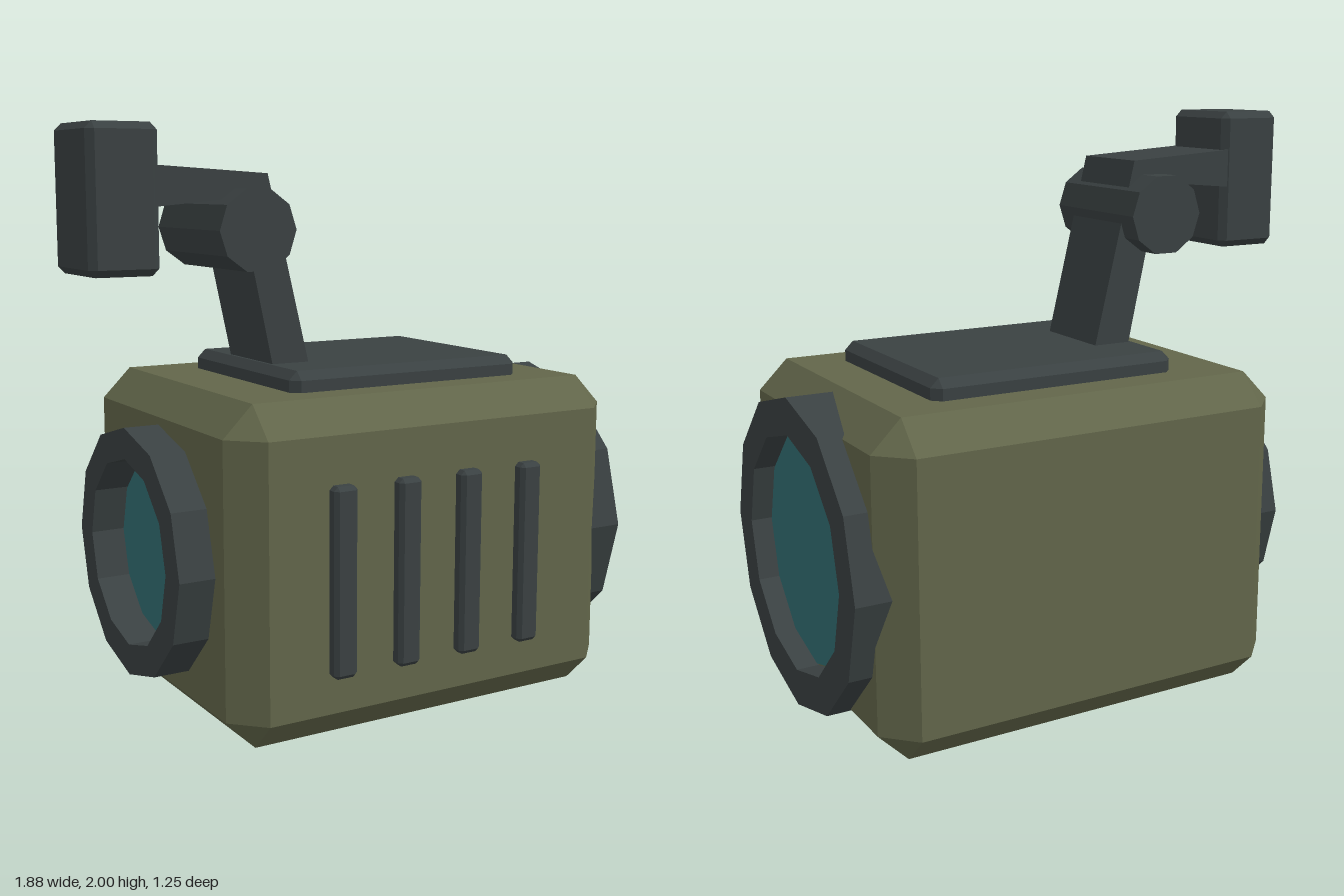
import * as THREE from 'three';
import { ConvexGeometry } from 'three/addons/geometries/ConvexGeometry.js';

const mat = (name, color) => {
  const m = new THREE.MeshStandardMaterial({ color, flatShading: true });
  m.name = name;
  return m;
};

// Box between two corners with every edge cut at 45 degrees
function chamferBox(min, max, c) {
  const pts = [];
  for (let i = 0; i < 8; i++) {
    const bits = [i & 1, (i >> 1) & 1, (i >> 2) & 1];
    for (let face = 0; face < 3; face++) {
      const p = bits.map((b, k) => {
        const inset = k === face ? 0 : c;
        return b ? max[k] - inset : min[k] + inset;
      });
      pts.push(new THREE.Vector3(...p));
    }
  }
  return new ConvexGeometry(pts);
}

export function createModel() {
  const olive = mat('olive', 0x62664a);
  const dark = mat('dark grey', 0x3a4142);
  const teal = mat('teal glass', 0x326e72);
  const model = new THREE.Group();
  const midZ = -0.02;

  const add = (name, geometry, material, parent = model) => {
    const mesh = new THREE.Mesh(geometry, material);
    mesh.name = name;
    parent.add(mesh);
    return mesh;
  };

  // Housing and the plate on top
  add('housing', chamferBox([-0.655, 0, -0.625], [0.855, 1.13, 0.58], 0.105), olive);
  add('topPlate', chamferBox([-0.34, 1.1, -0.4], [0.58, 1.2, 0.36], 0.03), dark);

  // Twelve-sided lens: a square-section ring with a recessed glass disc
  function lens(name, side, wallX, tipX, outer, inner, glassR) {
    const group = new THREE.Group();
    group.name = name;
    const depth = tipX - wallX;
    const profile = [
      [inner, -0.15], [outer, -0.15], [outer, depth], [inner, depth], [inner, -0.15],
    ].map(([r, y]) => new THREE.Vector2(r, y));
    add('lensRing', new THREE.LatheGeometry(profile, 12), dark, group);
    add('lensGlass', new THREE.CylinderGeometry(glassR, glassR, 0.009, 12), teal, group).position.y = 0.003;
    group.rotation.z = -side * Math.PI / 2;
    group.position.set(side * wallX, 0.567, midZ);
    model.add(group);
  }
  lens('largeLens', 1, 0.855, 0.935, 0.543, 0.415, 0.407);
  lens('smallLens', -1, 0.655, 0.78, 0.432, 0.325, 0.318);

  // Four upright vent bars on the front
  for (const x of [-0.29, -0.045, 0.2, 0.447]) {
    add('ventBar', chamferBox([x - 0.043, 0.23, 0.54], [x + 0.043, 0.865, 0.622], 0.014), dark);
  }

  // Bent arm, pivot and end pad
  const armShape = new THREE.Shape([
    [-0.155, 1.18], [-0.313, 1.84], [-0.72, 1.866], [-0.72, 1.733], [-0.42, 1.76], [-0.295, 1.18],
  ].map(([x, y]) => new THREE.Vector2(x, y)));
  const armGeo = new THREE.ExtrudeGeometry(armShape, { depth: 0.317, bevelEnabled: false });
  armGeo.translate(0, 0, -0.177);
  add('arm', armGeo, dark);

  const pivotGeo = new THREE.CylinderGeometry(0.141, 0.141, 0.49, 10);
  pivotGeo.rotateY(Math.PI / 2).rotateX(Math.PI / 2);
  add('armPivot', pivotGeo, dark).position.set(-0.392, 1.656, midZ);

  add('endPad', chamferBox([-0.943, 1.512, -0.18], [-0.7, 2, 0.145], 0.024), dark);

  return model;
}
